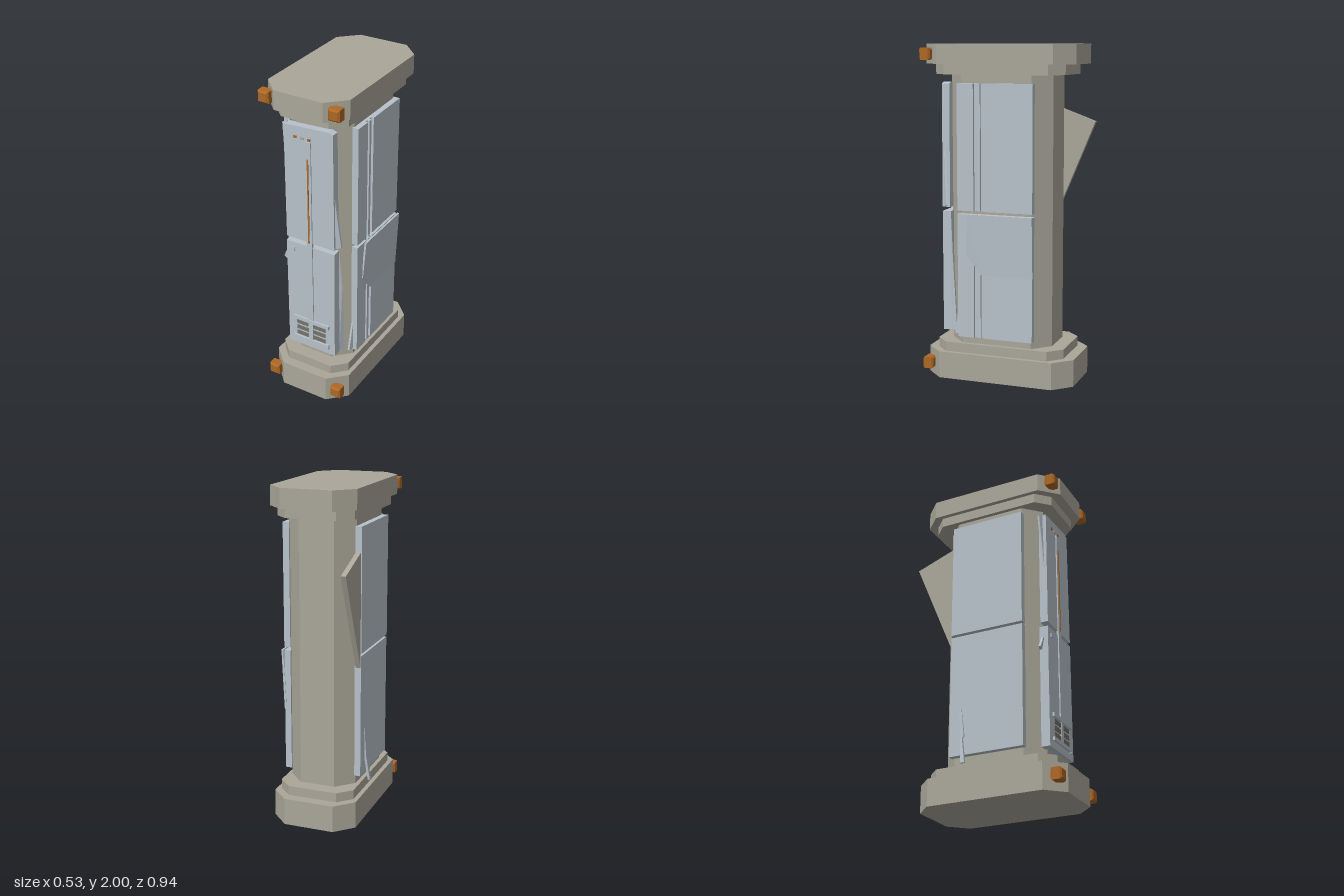
import * as THREE from 'three';
import { ConvexGeometry } from 'three/addons/geometries/ConvexGeometry.js';

const mat = (name, color) => {
  const m = new THREE.MeshStandardMaterial({ color });
  m.name = name;
  return m;
};

export function createModel() {
  const stone = mat('stone', 0xaaa699);
  const panel = mat('pale blue panel', 0xb8c2ca);
  const dark = mat('vent dark', 0x74726a);
  const orange = mat('orange', 0xae6826);
  const root = new THREE.Group();
  root.name = 'pillar';

  const add = (name, geometry, material) => {
    const mesh = new THREE.Mesh(geometry, material);
    mesh.name = name;
    root.add(mesh);
    return mesh;
  };
  // Box from its minimum and maximum on each axis
  const box = (name, material, x0, x1, y0, y1, z0, z1) => {
    const mesh = add(name, new THREE.BoxGeometry(x1 - x0, y1 - y0, z1 - z0), material);
    mesh.position.set((x0 + x1) / 2, (y0 + y1) / 2, (z0 + z1) / 2);
  };
  // Flat plate: corner points swept along a thickness vector
  const slab = (name, material, points, thickness) => {
    const t = new THREE.Vector3(...thickness);
    const a = points.map((p) => new THREE.Vector3(...p));
    add(name, new ConvexGeometry([...a, ...a.map((p) => p.clone().add(t))]), material);
  };
  // Eight-sided block with cut corners
  const octagon = (name, x0, x1, z0, z1, cut, y0, y1) => {
    const s = new THREE.Shape([
      [x0 + cut, -z1], [x1 - cut, -z1], [x1, -z1 + cut], [x1, -z0 - cut],
      [x1 - cut, -z0], [x0 + cut, -z0], [x0, -z0 - cut], [x0, -z1 + cut],
    ].map(([x, y]) => new THREE.Vector2(x, y)));
    const g = new THREE.ExtrudeGeometry(s, { depth: y1 - y0, bevelEnabled: false });
    g.rotateX(-Math.PI / 2).translate(0, y0, 0);
    add(name, g, stone);
  };

  // Column with a stepped base and cap
  octagon('base', -0.255, 0.262, -0.455, 0.465, 0.105, 0, 0.163);
  octagon('baseStep', -0.228, 0.235, -0.392, 0.405, 0.08, 0.163, 0.22);
  octagon('column', -0.203, 0.21, -0.307, 0.325, 0.1, 0.22, 1.825);
  octagon('capStep', -0.228, 0.235, -0.392, 0.405, 0.08, 1.825, 1.885);
  octagon('cap', -0.255, 0.262, -0.455, 0.465, 0.105, 1.885, 2);

  // Bevelled corner lamps
  const b = 0.01, h = 0.025;
  const square = new THREE.Shape([[-h, -h], [h, -h], [h, h], [-h, h]].map((p) => new THREE.Vector2(...p)));
  for (const x of [-0.218, 0.224]) for (const y of [0.083, 1.943]) {
    const g = new THREE.ExtrudeGeometry(square, {
      depth: 0.047, bevelThickness: b, bevelSize: b, bevelSegments: 1,
    });
    g.translate(x, y, 0.413);
    add('cornerLamp', g, orange);
  }

  // Front panels
  slab('frontUpperPanel', panel,
    [[-0.158, 1.04, 0.32], [0.165, 1.035, 0.32], [0.16, 1.77, 0.32], [0.13, 1.78, 0.32], [-0.158, 1.765, 0.32]],
    [0, 0, 0.048]);
  box('frontLowerPanel', panel, -0.16, 0.165, 0.277, 1.01, 0.315, 0.368);
  // Bent edges of the front panels
  slab('bentEdgeUpperLeft', panel,
    [[-0.15, 1.77, 0.335], [-0.187, 1.752, 0.325], [-0.158, 1.4, 0.34]], [0, 0, 0.012]);
  slab('bentEdgeUpperRight', panel,
    [[0.16, 1.4, 0.345], [0.16, 1.04, 0.345], [0.192, 1.05, 0.322]], [0, 0, 0.014]);
  slab('bentEdgeLowerRight', panel,
    [[0.155, 1.005, 0.315], [0.155, 0.28, 0.315], [0.168, 0.28, 0.275], [0.168, 0.75, 0.3]], [0.01, 0, 0]);
  slab('tornStrip', panel,
    [[-0.172, 0.935, 0.33], [-0.158, 0.942, 0.33], [-0.182, 0.855, 0.325], [-0.202, 0.868, 0.325]], [0, 0, 0.014]);

  // Front trim and lights
  box('frontRib', panel, -0.019, 0.019, 0.485, 1.69, 0.36, 0.375);
  box('lightStrip', orange, -0.004, 0.004, 1.04, 1.585, 0.37, 0.379);
  for (const [x, m] of [[-0.083, orange], [-0.037, stone], [0.007, orange]])
    box('indicator', m, x - 0.009, x + 0.009, 1.697, 1.71, 0.366, 0.374);
  box('smallButton', panel, -0.125, -0.103, 0.952, 0.977, 0.366, 0.376);

  // Vent
  for (const y of [0.362, 0.402, 0.442]) box('ventSlot', dark, -0.1, 0.1, y - 0.013, y + 0.013, 0.365, 0.373);
  box('ventBar', panel, -0.015, 0.015, 0.34, 0.462, 0.365, 0.376);
  box('ventTopTrim', panel, -0.12, 0.127, 0.463, 0.487, 0.365, 0.38);
  box('ventBottomTrim', panel, -0.12, 0.127, 0.32, 0.342, 0.365, 0.38);
  box('ventBottomEnd', panel, 0.108, 0.127, 0.312, 0.345, 0.365, 0.38);

  // Left side panels, each with a grooved channel and a rib in it
  for (const [y0, y1] of [[0.265, 1.01], [1.03, 1.775]]) {
    box('leftPanelFront', panel, 0.205, 0.244, y0, y1, 0.138, 0.24);
    box('leftPanelBack', panel, 0.205, 0.244, y0, y1, -0.225, 0.075);
    box('leftPanelChannel', panel, 0.205, 0.228, y0, y1, 0.075, 0.138);
    box('leftPanelRib', panel, 0.205, 0.242, y0, y1, 0.096, 0.117);
  }
  // Plate leaning outwards at its top
  slab('leaningPlate', panel,
    [[0.25, 1.012, 0.17], [0.25, 1.012, -0.228], [0.234, 0.65, -0.228], [0.234, 0.65, 0.09], [0.237, 0.77, 0.183]],
    [0.012, 0, 0]);
  slab('leftLowerBentEdge', panel,
    [[0.207, 0.5, 0.235], [0.2, 0.275, 0.275], [0.207, 0.275, 0.235]], [0.012, 0, 0]);

  // Right side panels
  box('rightUpperPanel', panel, -0.24, -0.2, 1.035, 1.775, -0.225, 0.24);
  box('rightLowerPanel', panel, -0.238, -0.2, 0.275, 1.02, -0.225, 0.24);
  // Strip peeling away at the bottom, in two bends
  const peel = [[-0.24, 0.56, -0.16], [-0.248, 0.38, -0.15], [-0.268, 0.22, -0.135]];
  for (let i = 0; i < 2; i++) {
    const [p, q] = [peel[i], peel[i + 1]];
    slab('peelingStrip', panel,
      [p, q, [q[0], q[1], q[2] + 0.025], [p[0], p[1], p[2] + 0.012]], [0.014, 0, 0]);
  }

  // Pointed fin at the rear
  slab('rearFin', stone,
    [[-0.235, 1.63, -0.225], [-0.235, 1.54, -0.472], [-0.235, 0.95, -0.225]], [0.03, 0, 0]);

  return root;
}
